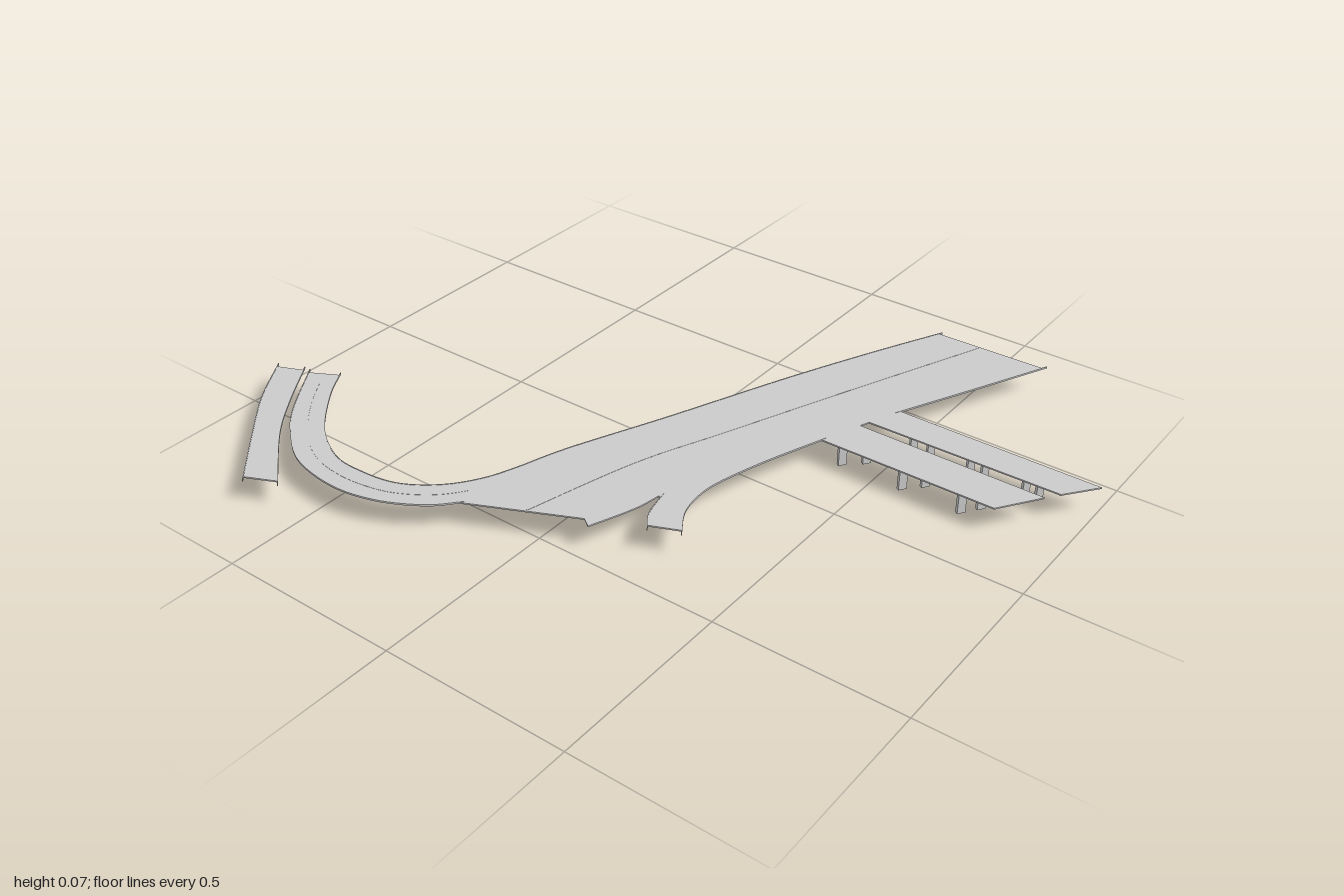
import * as THREE from 'three';

const TOP = 0.072, THICK = 0.004;
const mat = new THREE.MeshStandardMaterial({ color: 0xcccccc, side: THREE.DoubleSide });

// smooth plan curve through [x, z] points
const curve = (pts, n = 32) =>
  new THREE.SplineCurve(pts.map(([x, z]) => new THREE.Vector2(x, z))).getPoints(n);
const straight = (pts) => pts.map(([x, z]) => new THREE.Vector2(x, z));

// flat slab from a closed plan outline
function slab(name, outline, top = TOP, thick = THICK) {
  const shape = new THREE.Shape(outline.map((p) => new THREE.Vector2(p.x, -p.y)));
  const geo = new THREE.ExtrudeGeometry(shape, { depth: thick, bevelEnabled: false });
  geo.rotateX(-Math.PI / 2).translate(0, top - thick, 0);
  const mesh = new THREE.Mesh(geo, mat);
  mesh.name = name;
  return mesh;
}

// narrow strip following a plan line, optionally running past its ends
function strip(name, line, width, top, over = 0) {
  const pts = line.map((p) => p.clone());
  const extend = (a, b) => a.add(a.clone().sub(b).normalize().multiplyScalar(over));
  extend(pts[0], pts[1]);
  extend(pts[pts.length - 1], pts[pts.length - 2]);
  const left = [], right = [];
  pts.forEach((p, i) => {
    const d = pts[Math.min(i + 1, pts.length - 1)].clone().sub(pts[Math.max(i - 1, 0)]).normalize();
    const n = new THREE.Vector2(-d.y, d.x).multiplyScalar(width / 2);
    left.push(p.clone().add(n));
    right.push(p.clone().sub(n));
  });
  return slab(name, [...left, ...right.reverse()], top, top - TOP + THICK);
}

export function createModel() {
  const model = new THREE.Group();

  // plan edges of the carriageway and its ramps
  const mainLeft = curve([[-0.16, 0.372], [-0.118, 0.243], [-0.01, -0.013], [0.123, -0.345],
    [0.235, -0.6], [0.33, -0.8]]);
  const mainRight = curve([[0.64, -0.805], [0.545, -0.6], [0.447, -0.392]], 8);
  const exitOuter = curve([[0.357, -0.16], [0.3, 0], [0.262, 0.135], [0.254, 0.21],
    [0.267, 0.286], [0.305, 0.35]]);
  const exitInner = curve([[0.23, 0.382], [0.203, 0.34], [0.187, 0.275]], 10);
  const mainEnd = curve([[0.18, 0.275], [0.166, 0.35], [0.123, 0.467]], 10);
  const loopOuter = curve([[-0.18, 0.58], [-0.235, 0.635], [-0.34, 0.69], [-0.465, 0.712],
    [-0.61, 0.687], [-0.717, 0.617], [-0.797, 0.537], [-0.9, 0.39]], 48);
  const loopInner = curve([[-0.825, 0.35], [-0.77, 0.435], [-0.663, 0.553], [-0.555, 0.617],
    [-0.465, 0.628], [-0.353, 0.612], [-0.262, 0.553], [-0.198, 0.468], [-0.16, 0.372]], 48);
  const branches = straight([[1.0, -0.39], [0.935, -0.305], [0.41, -0.3], [0.4, -0.273],
    [0.91, -0.27], [0.835, -0.16]]);

  // one continuous deck: main road, two side branches, exit ramp and loop ramp
  model.add(slab('roadDeck', [...mainLeft, ...mainRight, ...branches, ...exitOuter, ...exitInner,
    ...mainEnd, ...straight([[0.098, 0.45]]), ...loopOuter, ...loopInner.slice(0, -1)]));

  // detached service road beside the loop
  const sideInner = curve([[-0.92, 0.39], [-0.834, 0.515], [-0.738, 0.634], [-0.583, 0.778]]);
  const sideOuter = curve([[-0.663, 0.815], [-0.797, 0.67], [-0.904, 0.548], [-0.99, 0.42]]);
  model.add(slab('serviceRoad', [...sideInner, ...sideOuter]));

  // low curbs along the edges
  [mainRight, exitOuter, exitInner, loopOuter, sideInner, sideOuter].forEach((line) =>
    model.add(strip('curb', line, 0.002, TOP + 0.001, 0.015)));
  model.add(strip('curb', [...loopInner, ...mainLeft.slice(1)], 0.002, TOP + 0.001, 0.012));

  // lane dividers
  model.add(strip('mainDivider',
    curve([[-0.03, 0.505], [0.05, 0.2], [0.15, -0.05], [0.29, -0.4], [0.455, -0.8]]), 0.003, TOP + 0.0006));
  model.add(strip('loopDivider', loopOuter.map((p, i) =>
    p.clone().lerp(loopInner[Math.round((48 - i) * 0.85)], 0.5)), 0.002, TOP + 0.0006));

  // skewed rows of piers under the two branches
  const pierZ = [-0.19, -0.233, -0.325, -0.362];
  const pierRows = [[0.402, 0.447, 0.527, 0.557], [0.575, 0.615, 0.687, 0.71], [0.737, 0.768, 0.837, 0.858]];
  const height = TOP - THICK;
  pierRows.forEach((row) => row.forEach((x, i) => {
    const pier = new THREE.Mesh(new THREE.BoxGeometry(0.01, height, i < 2 ? 0.022 : 0.019), mat);
    pier.position.set(x, height / 2, pierZ[i]);
    pier.rotation.y = -0.6;
    pier.name = 'pier';
    model.add(pier);
  }));

  return model;
}
